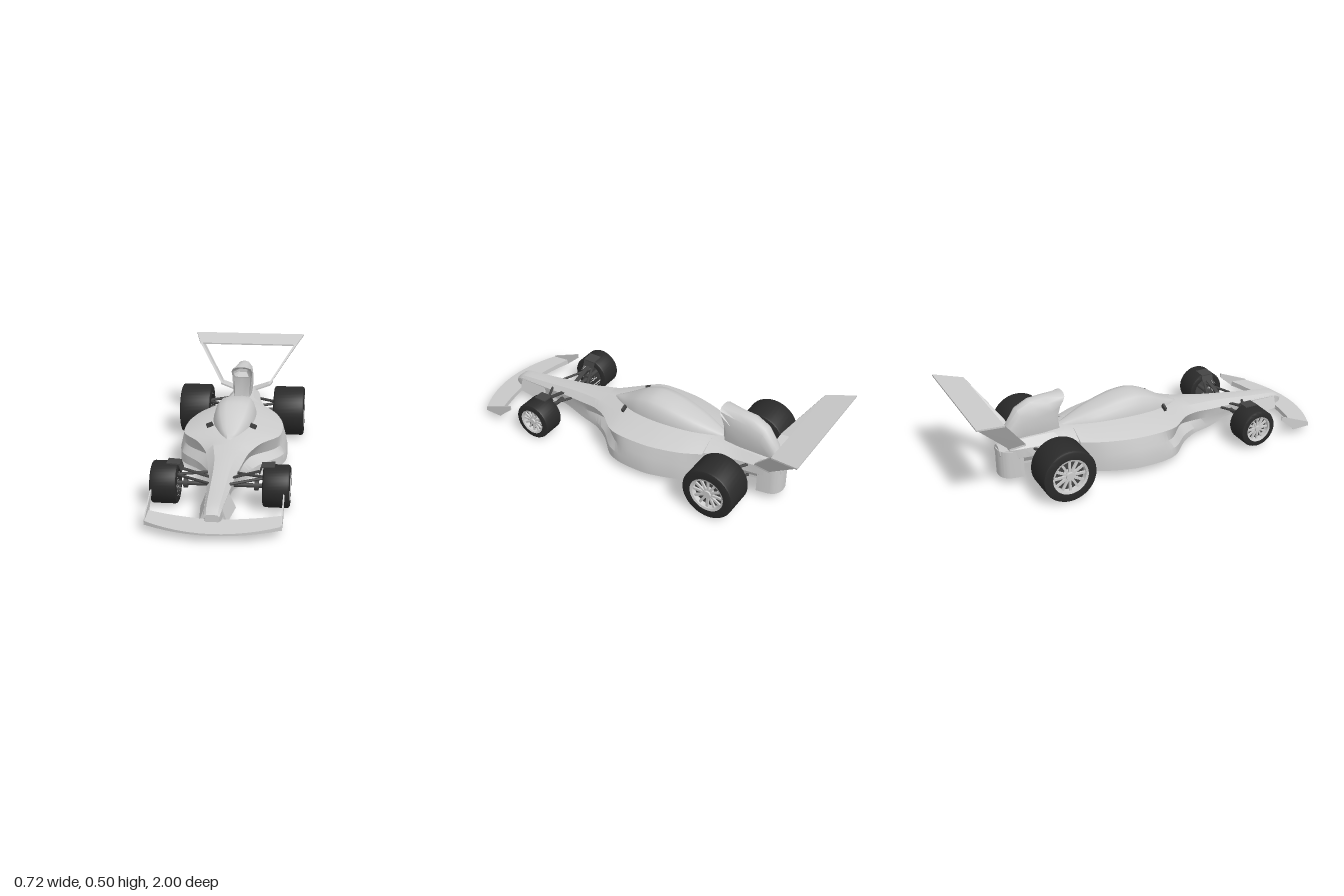
import * as THREE from 'three';
import { toCreasedNormals } from 'three/addons/utils/BufferGeometryUtils.js';

const mat = (color) => new THREE.MeshStandardMaterial({ color, side: THREE.DoubleSide });
const grey = mat(0xcccccc), rubber = mat(0x2a2a2a), dark = mat(0x444444);
const V = (x, y, z) => new THREE.Vector3(x, y, z);

// Closed skin over rings of points; steps > 1 smooths between the rings
function loft(rings, steps = 1, crease = 0.5) {
  const n = rings[0].length;
  if (steps > 1) {
    const columns = rings[0].map((_, j) =>
      new THREE.CatmullRomCurve3(rings.map((r) => r[j]), false, 'catmullrom', 0.4));
    const total = (rings.length - 1) * steps;
    rings = Array.from({ length: total + 1 }, (_, i) => columns.map((c) => c.getPoint(i / total)));
  }
  const pts = rings.flat(), idx = [], last = (rings.length - 1) * n;
  for (let i = 0; i < rings.length - 1; i++) {
    for (let j = 0; j < n; j++) {
      const a = i * n + j, b = i * n + (j + 1) % n;
      idx.push(a, b, a + n, b, b + n, a + n);
    }
  }
  for (let j = 1; j < n - 1; j++) idx.push(0, j + 1, j, last, last + j, last + j + 1);
  // Turn the faces outward if the volume comes out negative
  let volume = 0;
  for (let i = 0; i < idx.length; i += 3) {
    volume += pts[idx[i]].dot(pts[idx[i + 1]].clone().cross(pts[idx[i + 2]]));
  }
  if (volume < 0) idx.reverse();
  const geo = new THREE.BufferGeometry().setFromPoints(pts);
  geo.setIndex(idx);
  return toCreasedNormals(geo, crease);
}

// Symmetrical ring from half a section, bottom centre to top centre
function ring(half) {
  return [...half, ...half.slice(1, -1).reverse().map((p) => V(-p.x, p.y, p.z))];
}

const hullRing = ([z, yb, wf, yf, wm, ym, ws, ys, wt, yt, top]) => ring([
  V(0, yb, z), V(wf, yb, z), V(wf, yf, z), V(wm, ym, z), V(ws, ys, z), V(wt, yt, z), V(0, top, z)]);

const plate = (corners, offset) => loft([corners, corners.map((p) => p.clone().add(offset))], 1, 0.3);

function add(parent, name, geo, material = grey) {
  const mesh = new THREE.Mesh(geo, material);
  mesh.name = name;
  parent.add(mesh);
  return mesh;
}

function rod(parent, name, a, b, r) {
  const mesh = add(parent, name, new THREE.CylinderGeometry(r, r, a.distanceTo(b), 8), dark);
  mesh.position.copy(a).lerp(b, 0.5);
  mesh.quaternion.setFromUnitVectors(V(0, 1, 0), b.clone().sub(a).normalize());
}

// Wheel with its outer face on local +y, turned to face sideways
function wheel(name, side, x, y, z, R, width, rimR) {
  const g = new THREE.Group(), h = width / 2, c = 0.012;
  g.name = name;
  const tyre = [[rimR, -h], [R - c, -h], [R - c * 0.3, -h + c * 0.35], [R, -h + c],
    [R, h - c], [R - c * 0.3, h - c * 0.35], [R - c, h], [rimR, h], [rimR, -h]];
  add(g, 'tyre', toCreasedNormals(new THREE.LatheGeometry(tyre.map((p) => new THREE.Vector2(...p)), 40), 0.6), rubber);
  const rim = [[rimR, -h], [rimR, h], [rimR * 0.88, h - 0.004], [rimR * 0.85, h - 0.03]];
  add(g, 'rim', toCreasedNormals(new THREE.LatheGeometry(rim.map((p) => new THREE.Vector2(...p)), 40), 0.6));
  add(g, 'brakeDisc', new THREE.CylinderGeometry(rimR * 0.98, rimR * 0.98, 0.012, 32), dark).position.y = h - 0.045;
  add(g, 'hub', new THREE.CylinderGeometry(rimR * 0.22, rimR * 0.28, 0.035, 16)).position.y = h - 0.02;
  for (let i = 0; i < 12; i++) {
    const a = (i / 12) * Math.PI * 2;
    const spoke = add(g, 'spoke', new THREE.BoxGeometry(rimR * 0.7, 0.01, rimR * 0.13));
    spoke.position.set(Math.cos(a) * rimR * 0.54, h - 0.016, Math.sin(a) * rimR * 0.54);
    spoke.rotation.y = -a;
  }
  g.rotation.z = -side * Math.PI / 2;
  g.position.set(side * x, y, z);
  return g;
}

export function createModel() {
  const car = new THREE.Group();
  car.name = 'racingCar';

  // Nose and sidepods in one hull
  add(car, 'body', loft([
    [0.915, 0.065, 0.03, 0.07, 0.034, 0.08, 0.034, 0.09, 0.025, 0.098, 0.1],
    [0.87, 0.06, 0.04, 0.07, 0.042, 0.09, 0.042, 0.11, 0.03, 0.126, 0.13],
    [0.7, 0.07, 0.045, 0.08, 0.052, 0.1, 0.054, 0.125, 0.035, 0.148, 0.152],
    [0.55, 0.07, 0.055, 0.08, 0.062, 0.1, 0.066, 0.14, 0.04, 0.17, 0.175],
    [0.42, 0.04, 0.07, 0.06, 0.07, 0.1, 0.085, 0.155, 0.05, 0.187, 0.195],
    [0.3, 0.04, 0.1, 0.07, 0.08, 0.11, 0.11, 0.175, 0.07, 0.204, 0.212],
    [0.2, 0.04, 0.16, 0.08, 0.115, 0.125, 0.165, 0.195, 0.09, 0.218, 0.226],
    [0.1, 0.04, 0.255, 0.09, 0.22, 0.13, 0.245, 0.2, 0.11, 0.235, 0.24],
    [0, 0.04, 0.285, 0.095, 0.275, 0.14, 0.262, 0.2, 0.12, 0.245, 0.25],
    [-0.15, 0.04, 0.282, 0.09, 0.272, 0.14, 0.255, 0.2, 0.12, 0.25, 0.26],
  ].concat([
    [-0.3, 0.04, 0.235, 0.075, 0.23, 0.13, 0.215, 0.2, 0.1, 0.248, 0.255],
    [-0.41, 0.04, 0.17, 0.065, 0.165, 0.12, 0.16, 0.2, 0.08, 0.24, 0.25],
  ]).map(hullRing), 4));

  // Engine cover narrowing between the rear wheels
  add(car, 'engineCover', loft([
    [-0.4, 0.08, 0.15, 0.1, 0.155, 0.14, 0.148, 0.2, 0.08, 0.24, 0.25],
    [-0.55, 0.1, 0.095, 0.12, 0.11, 0.15, 0.105, 0.2, 0.06, 0.24, 0.25],
    [-0.72, 0.11, 0.06, 0.12, 0.08, 0.15, 0.082, 0.2, 0.05, 0.235, 0.245],
    [-0.8, 0.15, 0.03, 0.155, 0.04, 0.165, 0.04, 0.185, 0.02, 0.205, 0.21],
  ].map(hullRing), 4));

  // Cockpit canopy: z, half width, top height
  add(car, 'canopy', loft([
    [0.23, 0.012, 0.222], [0.15, 0.06, 0.26], [0.05, 0.1, 0.318], [-0.04, 0.114, 0.346],
    [-0.15, 0.114, 0.338], [-0.3, 0.09, 0.3], [-0.46, 0.025, 0.248],
  ].map(([z, w, top]) => {
    const d = top - 0.2;
    return ring([V(0, 0.2, z), V(w, 0.2, z), V(w * 0.97, 0.2 + d * 0.4, z), V(w * 0.85, 0.2 + d * 0.72, z),
      V(w * 0.66, 0.2 + d * 0.92, z), V(w * 0.35, 0.2 + d * 0.985, z), V(0, top, z)]);
  }), 4, 0.9));

  // Airbox: hollow mouth first, then the cover sweeping down to the tail
  add(car, 'airbox', loft([
    [0.4, -0.54, 0.375, -0.54, 0.025], [0.42, -0.445, 0.36, -0.482, 0.05],
    [0.43, -0.435, 0.35, -0.485, 0.06], [0.43, -0.54, 0.23, -0.47, 0.056],
    [0.425, -0.62, 0.2, -0.55, 0.056], [0.39, -0.69, 0.2, -0.65, 0.05],
    [0.3, -0.75, 0.19, -0.72, 0.038], [0.2, -0.79, 0.18, -0.78, 0.02],
  ].map(([yt, zt, yb, zb, w]) => ring(
    [[0, 0], [0.75, 0.03], [0.96, 0.3], [1, 0.6], [0.85, 0.85], [0.45, 0.97], [0, 1]].map(([x, t]) =>
      V(w * x, yb + (yt - yb) * t, zb + (zt - zb) * t)))), 1, 0.7));

  // Rounded tail box
  const tail = new THREE.Shape();
  tail.moveTo(-0.085, -0.69).lineTo(0.085, -0.69).lineTo(0.075, -0.75);
  tail.quadraticCurveTo(0.06, -0.805, 0, -0.805).quadraticCurveTo(-0.06, -0.805, -0.075, -0.75);
  const tailGeo = new THREE.ExtrudeGeometry(tail, { depth: 0.15, bevelEnabled: false }).rotateX(Math.PI / 2);
  add(car, 'tailBox', toCreasedNormals(tailGeo, 0.6)).position.y = 0.19;

  // Front wing: curved blade, thicker toward the back
  const blade = new THREE.Shape();
  blade.moveTo(-0.315, 0.91).quadraticCurveTo(0, 1.09, 0.315, 0.91).lineTo(0.315, 0.81);
  blade.quadraticCurveTo(0.18, 0.86, 0, 0.875).quadraticCurveTo(-0.18, 0.86, -0.315, 0.81);
  const bladeGeo = new THREE.ExtrudeGeometry(blade, { depth: 1, bevelEnabled: false }).rotateX(Math.PI / 2);
  const p = bladeGeo.attributes.position;
  for (let i = 0; i < p.count; i++) p.setY(i, p.getY(i) < -0.5 ? 0.036 : 0.045 + (1 - p.getZ(i)) * 0.11);
  add(car, 'frontWing', toCreasedNormals(bladeGeo, 0.5));

  // Rear wing
  add(car, 'rearWing', plate([V(-0.335, 0.505, -1), V(0.335, 0.505, -1), V(0.295, 0.472, -0.85),
    V(-0.295, 0.472, -0.85)], V(0, -0.008, 0)));

  for (const s of [1, -1]) {
    const P = (x, y, z) => V(s * x, y, z);
    add(car, 'frontWingEndplate', plate([P(0.315, 0.036, 0.915), P(0.315, 0.06, 0.91), P(0.315, 0.135, 0.73),
      P(0.315, 0.11, 0.73), P(0.315, 0.04, 0.81)], P(-0.006, 0, 0)));
    add(car, 'nosePylon', plate([P(0.04, 0.115, 0.87), P(0.05, 0.13, 0.7), P(0.085, 0.04, 0.68),
      P(0.065, 0.045, 0.87)], P(-0.01, 0, 0)));

    // Slanted rear wing strut with its foot
    add(car, 'rearWingStrut', plate([P(0.335, 0.505, -1), P(0.295, 0.472, -0.85), P(0.15, 0.262, -0.7),
      P(0.16, 0.262, -0.79)], P(-0.014, 0, 0)));
    add(car, 'rearWingFoot', plate([P(0.15, 0.262, -0.7), P(0.16, 0.262, -0.79), P(0.04, 0.225, -0.77),
      P(0.06, 0.23, -0.69)], V(0, -0.01, 0)));

    car.add(wheel('frontWheel', s, 0.27, 0.11, 0.562, 0.104, 0.13, 0.072));
    car.add(wheel('rearWheel', s, 0.272, 0.144, -0.555, 0.142, 0.176, 0.095));

    // Front suspension
    rod(car, 'frontAxle', P(0, 0.107, 0.56), P(0.29, 0.107, 0.56), 0.011);
    const collar = add(car, 'axleCollar', new THREE.CylinderGeometry(0.024, 0.024, 0.02, 16), dark);
    collar.rotation.z = Math.PI / 2;
    collar.position.set(s * 0.172, 0.107, 0.56);
    for (const z of [0.48, 0.64]) rod(car, 'frontWishbone', P(0.05, 0.14, z), P(0.22, 0.15, 0.56), 0.007);
    // Winglet stepping up over the front tyre
    const steps = [[0.055, 0.14], [0.185, 0.178], [0.195, 0.21], [0.26, 0.214]];
    for (let i = 0; i < 3; i++) {
      const [a, b] = [steps[i], steps[i + 1]], w = i === 0 ? 0.012 : 0.035;
      add(car, 'wheelWinglet', plate([P(...a, 0.56 - w), P(...a, 0.56 + w), P(...b, 0.56 + w),
        P(...b, 0.56 - w)], i === 1 ? P(0.006, 0, 0) : V(0, 0.006, 0)), dark);
    }

    // Rear suspension
    rod(car, 'rearAxle', P(0.05, 0.145, -0.555), P(0.355, 0.145, -0.555), 0.013);
    for (const z of [-0.47, -0.64]) {
      for (const y of [0.12, 0.19]) rod(car, 'rearWishbone', P(0.08, y, z), P(0.22, y, -0.555), 0.008);
    }

    // Mirror
    const mirror = add(car, 'mirror', new THREE.BoxGeometry(0.035, 0.022, 0.012), dark);
    mirror.position.set(s * 0.115, 0.255, 0.1);
    mirror.rotation.z = -s * 0.4;
  }
  return car;
}
